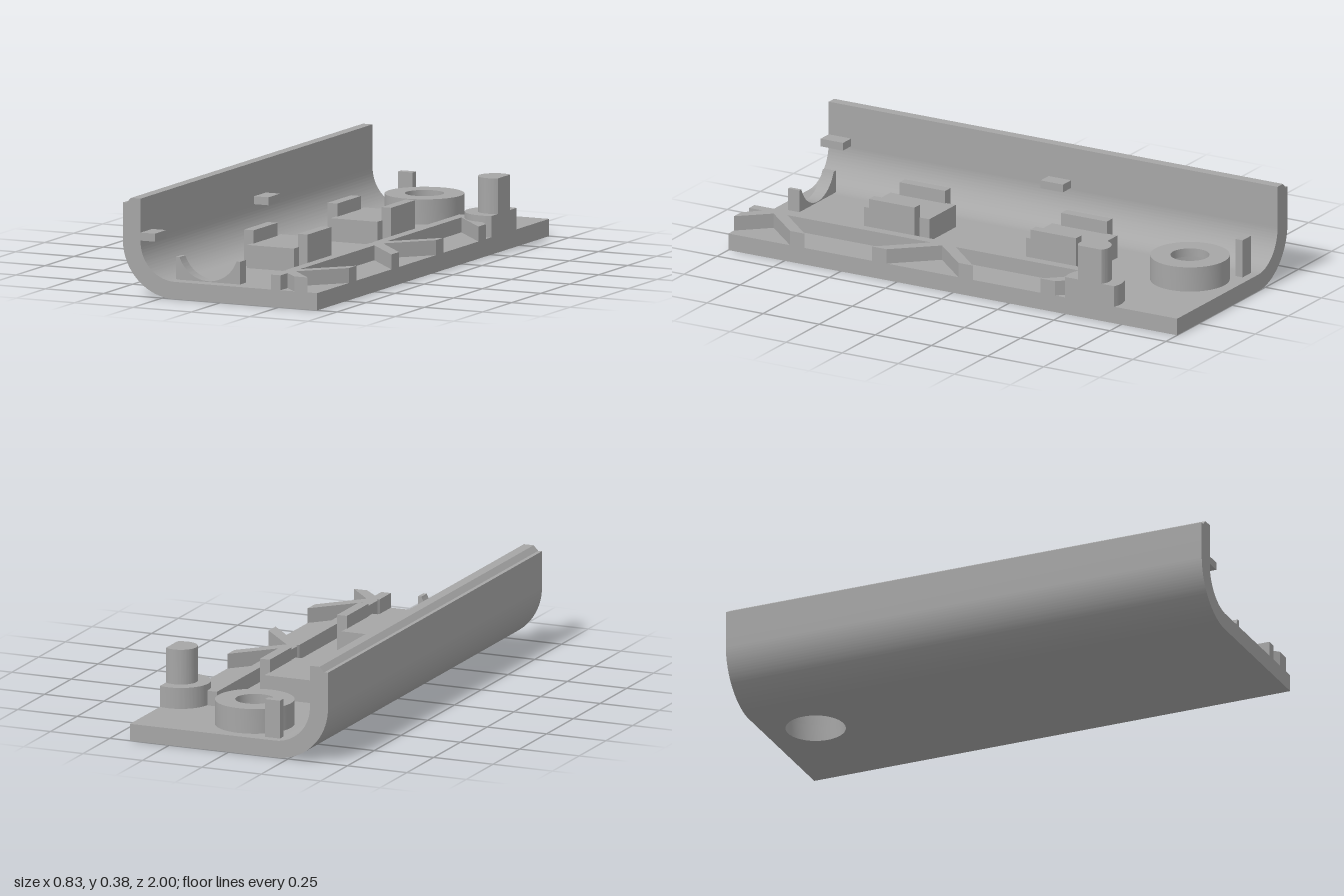
import * as THREE from 'three';
import { toCreasedNormals } from 'three/addons/utils/BufferGeometryUtils.js';

const FLOOR = 0.067, EDGE = 0.415;
const plastic = new THREE.MeshStandardMaterial({ color: 0xa6a6a6 });
plastic.name = 'grey plastic';

export function createModel() {
  const model = new THREE.Group();
  model.name = 'railShell';

  const add = (name, geometry) => {
    const mesh = new THREE.Mesh(geometry, plastic);
    mesh.name = name;
    model.add(mesh);
  };
  const extrude = (shape, depth) =>
    new THREE.ExtrudeGeometry(shape, { depth, bevelEnabled: false, curveSegments: 32 });
  // Box given by its limits
  const box = (name, x0, x1, y0, y1, z0, z1) =>
    add(name, new THREE.BoxGeometry(x1 - x0, y1 - y0, z1 - z0)
      .translate((x0 + x1) / 2, (y0 + y1) / 2, (z0 + z1) / 2));
  // Front outline (x, y) extruded along z
  const section = (name, shape, z0, z1) =>
    add(name, toCreasedNormals(extrude(shape, z1 - z0).translate(0, 0, z0), 0.5));
  // Plan outline (x, -z) extruded upwards
  const slab = (name, shape, y0, y1) =>
    add(name, toCreasedNormals(extrude(shape, y1 - y0).rotateX(-Math.PI / 2).translate(0, y0, 0), 0.5));
  const plan = (points) => new THREE.Shape(points.map(([x, z]) => new THREE.Vector2(x, -z)));

  // Floor with the screw hole
  const floor = plan([[-0.2, 1], [EDGE, 1], [EDGE, -1], [-0.2, -1]]);
  floor.holes.push(new THREE.Path().absarc(-0.02, 0.8, 0.116, 0, Math.PI * 2, true));
  slab('floor', floor, 0, FLOOR);

  // Curved side wall with a chamfered lip
  const wall = new THREE.Shape();
  wall.moveTo(-0.2, 0);
  wall.lineTo(-0.2, FLOOR);
  wall.absarc(-0.195, 0.214, 0.147, Math.PI * 1.5, Math.PI, true);
  wall.lineTo(-0.342, 0.38);
  wall.lineTo(-0.383, 0.38);
  wall.lineTo(-0.402, 0.36);
  wall.lineTo(-0.418, 0.36);
  wall.absarc(-0.2, 0.218, 0.218, Math.PI, Math.PI * 1.5, false);
  section('curvedWall', wall, -1, 1);

  // Screw boss, counterbored from below
  const boss = [[0.116, 0.06], [0.153, 0.06], [0.153, 0.165], [0.075, 0.165],
    [0.075, 0.132], [0.116, 0.132], [0.116, 0.06]].map(([r, y]) => new THREE.Vector2(r, y));
  add('screwBoss', toCreasedNormals(new THREE.LatheGeometry(boss, 64), 0.5).translate(-0.02, 0, -0.8));

  // Post beside the boss
  box('rearPost', -0.2, -0.138, FLOOR, 0.217, -0.965, -0.933);

  // Tabs on the side wall
  for (const z of [-0.08, 0.9]) box('wallTab', -0.35, -0.281, 0.217, 0.248, z, z + 0.1);

  // Two seats, each with a pair of cheeks
  for (const z of [-0.287, 0.433]) {
    box('seatBlock', -0.095, 0.105, FLOOR, 0.157, z - 0.145, z + 0.145);
    box('seatCheek', -0.13, -0.088, FLOOR, 0.208, z - 0.102, z + 0.102);
    box('seatCheek', 0.102, 0.143, FLOOR, 0.208, z - 0.102, z + 0.102);
  }

  // Cradle with a round cut
  const cradle = new THREE.Shape();
  const span = Math.asin(0.045 / 0.13);
  cradle.moveTo(-0.218, FLOOR);
  cradle.lineTo(0.057, FLOOR);
  cradle.lineTo(0.057, 0.155);
  cradle.absarc(-0.08, 0.2, 0.13, -span, -Math.PI + span, true);
  cradle.lineTo(-0.218, 0.155);
  section('cradle', cradle, 0.895, 0.945);

  // Long rib with small notches at the brace joints
  const ribPoints = [[0.258, 1], [0.258, -0.625], [0.218, -0.625]];
  for (const z of [0.135, 0.885]) ribPoints.push([0.218, z - 0.012], [0.226, z], [0.218, z + 0.012]);
  ribPoints.push([0.218, 1]);
  slab('longRib', plan(ribPoints), FLOOR, 0.125);

  // Diagonal braces running from the rib to the open edge
  const brace = (z, dir) => slab('brace',
    plan([[0.255, z], [0.268, z], [EDGE, z + dir * 0.16], [EDGE, z + dir * 0.225], [0.255, z + dir * 0.053]]),
    FLOOR, 0.125);
  brace(-0.615, 1);
  brace(0.135, -1);
  brace(0.135, 1);
  brace(0.885, -1);
  slab('brace', plan([[0.255, 0.885], [0.268, 0.885], [0.374, 1], [0.318, 1], [0.255, 0.938]]), FLOOR, 0.125);

  // Stepped locating pin, cut flat at the open edge
  const cutDisc = (r) => {
    const a = Math.acos((EDGE - 0.376) / r);
    return new THREE.Shape().absarc(0.376, 0.61, r, a, Math.PI * 2 - a, false);
  };
  slab('pinBase', cutDisc(0.116), FLOOR, 0.15);
  slab('locatingPin', cutDisc(0.065), 0.15, 0.288);

  return model;
}
